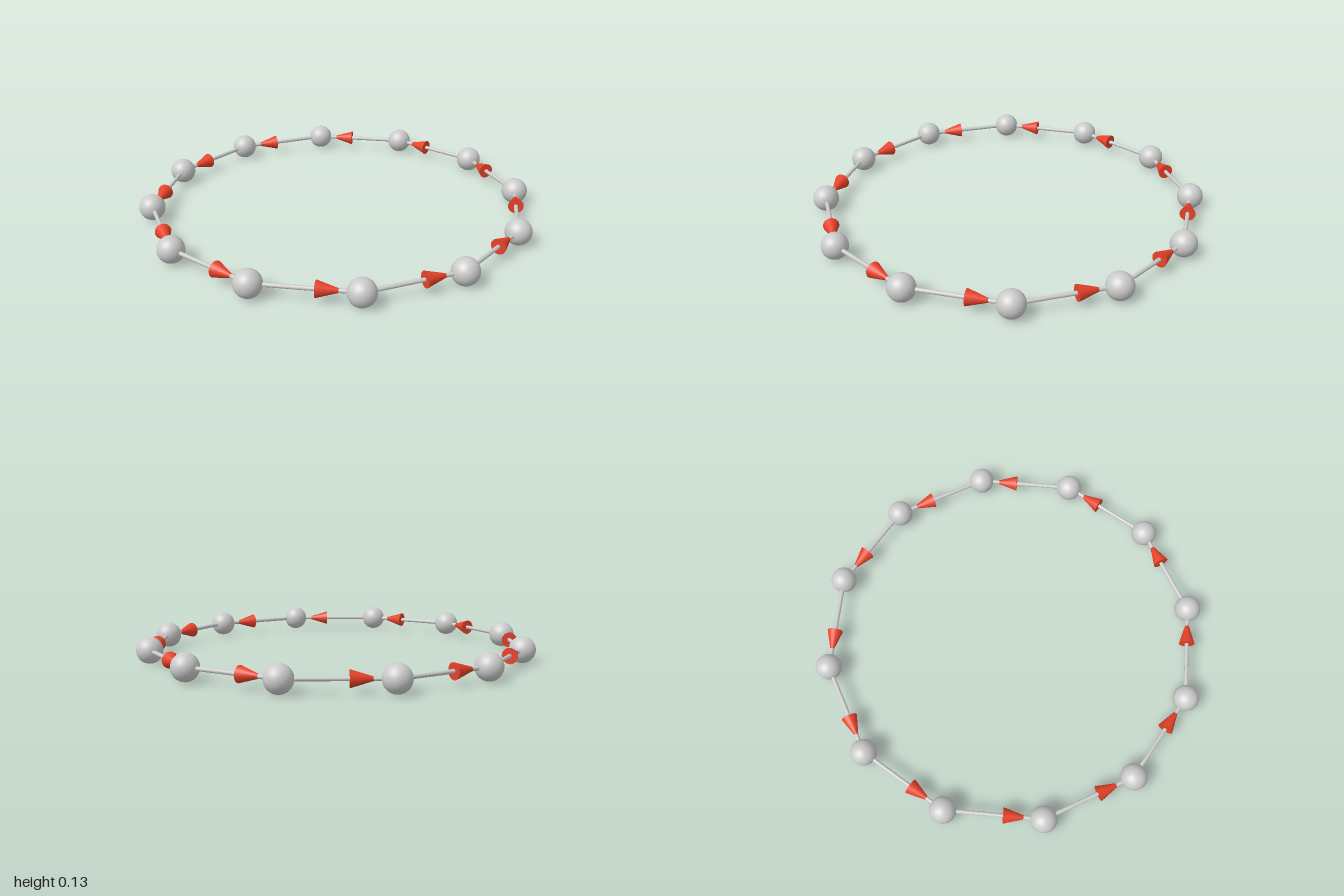
import * as THREE from 'three';

const COUNT = 12;
const BALL = 0.065;          // ball radius
const RING = 1 - BALL;       // radius of the ring of ball centres
const CONE_R = 0.039, CONE_H = 0.13;
const ROD_R = 0.01;

export function createModel() {
  const model = new THREE.Group();
  model.name = 'arrowRing';

  const grey = new THREE.MeshStandardMaterial({ color: 0xcccccc });
  const red = new THREE.MeshStandardMaterial({ color: 0xe8432a });

  const chord = 2 * RING * Math.sin(Math.PI / COUNT);
  const ballGeo = new THREE.SphereGeometry(BALL, 32, 20);
  const rodGeo = new THREE.CylinderGeometry(ROD_R, ROD_R, chord, 16);
  const coneGeo = new THREE.ConeGeometry(CONE_R, CONE_H, 24);
  const up = new THREE.Vector3(0, 1, 0);

  // Ball centre on the ring, running counter-clockwise seen from above
  const node = (i) => {
    const a = (i / COUNT) * Math.PI * 2;
    return new THREE.Vector3(RING * Math.sin(a), BALL, RING * Math.cos(a));
  };

  const add = (name, geometry, material, position, direction) => {
    const mesh = new THREE.Mesh(geometry, material);
    mesh.name = name;
    mesh.position.copy(position);
    if (direction) mesh.quaternion.setFromUnitVectors(up, direction);
    model.add(mesh);
  };

  for (let i = 0; i < COUNT; i++) {
    const from = node(i), to = node(i + 1);
    const dir = to.clone().sub(from).normalize();

    add(`ball${i + 1}`, ballGeo, grey, from);
    // Thin rod joining neighbouring balls
    add(`rod${i + 1}`, rodGeo, grey, from.clone().lerp(to, 0.5), dir);
    // Arrowhead whose tip touches the next ball
    const centre = to.clone().addScaledVector(dir, -(BALL + CONE_H / 2));
    add(`arrowhead${i + 1}`, coneGeo, red, centre, dir);
  }
  return model;
}
